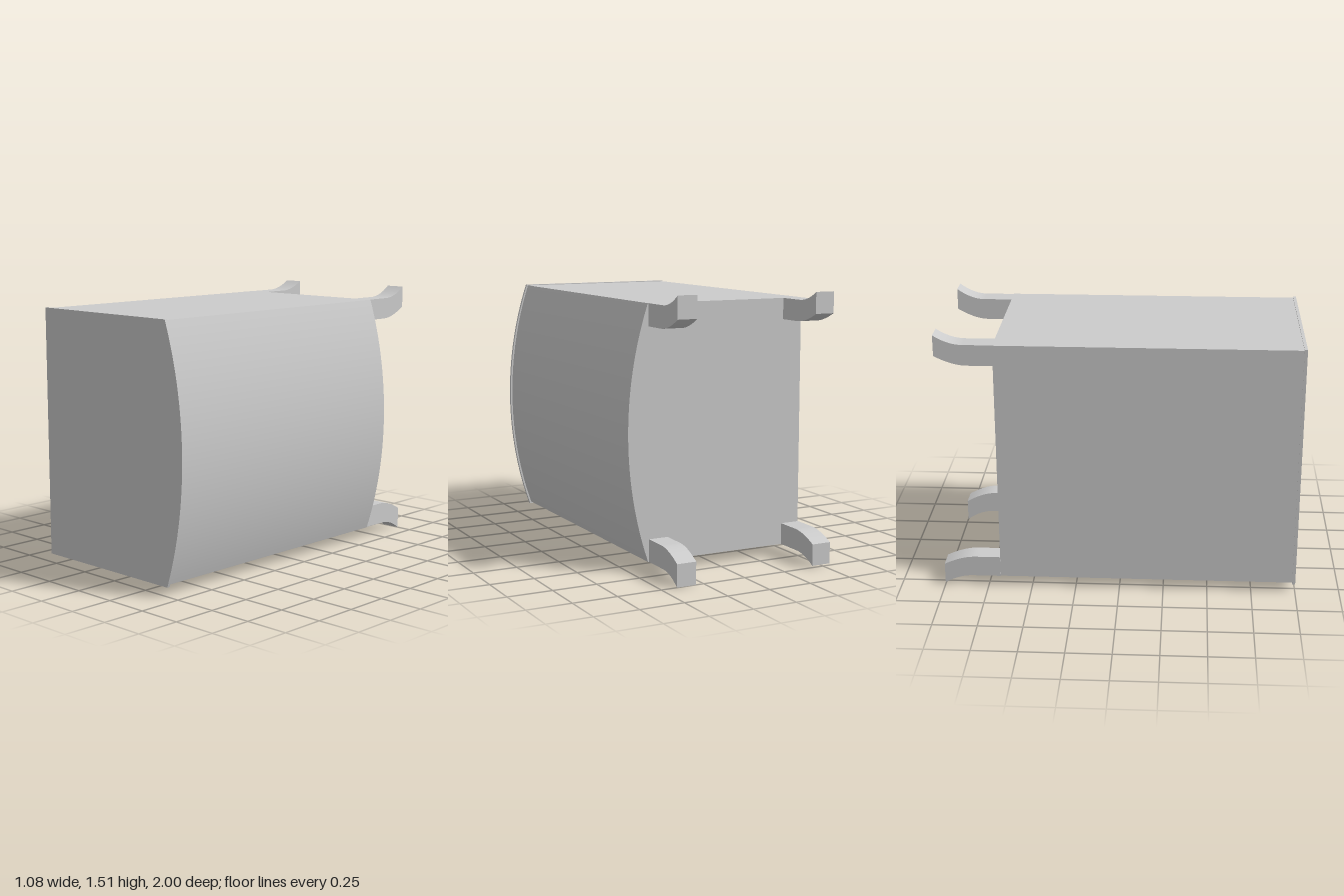
import * as THREE from 'three';
import { toCreasedNormals } from 'three/addons/utils/BufferGeometryUtils.js';

const material = new THREE.MeshStandardMaterial({ color: 0xcccccc });

function extrude(shape, depth) {
  const geometry = new THREE.ExtrudeGeometry(shape, { depth, bevelEnabled: false, curveSegments: 32 });
  return toCreasedNormals(geometry, 0.4);
}

function addMesh(group, name, geometry) {
  const mesh = new THREE.Mesh(geometry, material);
  mesh.name = name;
  group.add(mesh);
  return mesh;
}

// Rectangle whose +x side bulges outward in a shallow arc
function bulgedShape(left, edge, bulge, bottom, top) {
  const half = (top - bottom) / 2;
  const sagitta = bulge - edge;
  const radius = (half * half + sagitta * sagitta) / (2 * sagitta);
  const angle = Math.asin(half / radius);
  const shape = new THREE.Shape();
  shape.moveTo(left, bottom);
  shape.lineTo(edge, bottom);
  shape.absarc(bulge - radius, bottom + half, radius, -angle, angle, false);
  shape.lineTo(left, top);
  shape.closePath();
  return shape;
}

// Leg profile in (distance backward, height): straight, then flaring by rise
function legShape(outer, inner, rise) {
  const shape = new THREE.Shape();
  shape.moveTo(0.68, inner);
  shape.lineTo(0.82, inner);
  shape.quadraticCurveTo(0.9, inner, 1, inner + rise);
  shape.lineTo(1, outer + rise);
  shape.quadraticCurveTo(0.92, outer, 0.84, outer);
  shape.lineTo(0.68, outer);
  shape.closePath();
  return shape;
}

export function createModel() {
  const group = new THREE.Group();

  // Main body and the slightly larger front plate
  const body = addMesh(group, 'body', extrude(bulgedShape(-0.54, 0.413, 0.53, 0.06, 1.452), 1.663));
  body.position.z = -0.68;
  const plate = addMesh(group, 'frontPlate', extrude(bulgedShape(-0.543, 0.42, 0.54, 0.05, 1.457), 0.017));
  plate.position.z = 0.983;

  // Four legs flaring outward behind the body
  const legs = [
    ['upperRightLeg', -0.537, 0.113, 1.452, 1.335, 0.052],
    ['upperLeftLeg', 0.295, 0.113, 1.452, 1.33, 0.06],
    ['lowerRightLeg', -0.543, 0.113, 0.06, 0.18, -0.05],
    ['lowerLeftLeg', 0.295, 0.113, 0.06, 0.185, -0.06],
  ];
  for (const [name, x, width, outer, inner, rise] of legs) {
    const leg = addMesh(group, name, extrude(legShape(outer, inner, rise), width));
    leg.rotation.y = Math.PI / 2;
    leg.position.x = x;
  }
  return group;
}
